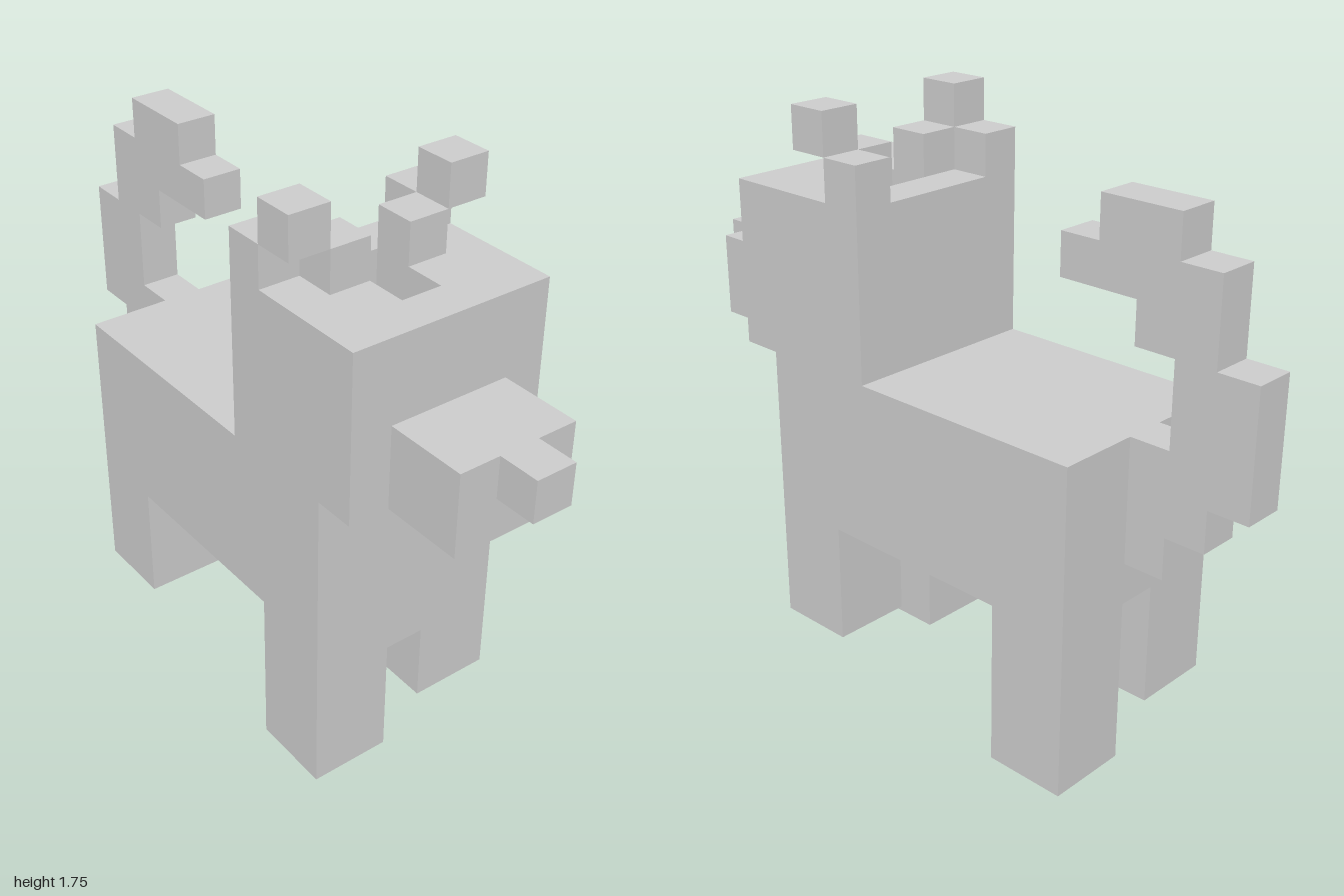
import * as THREE from 'three';

const U = 0.125; // one block
const material = new THREE.MeshStandardMaterial({ color: 0xcccccc, flatShading: true });

export function createModel() {
  const model = new THREE.Group();
  model.name = 'blockDog';

  const add = (name, geometry) => {
    const mesh = new THREE.Mesh(geometry, material);
    mesh.name = name;
    model.add(mesh);
    return mesh;
  };

  // Box given by its extents, in blocks
  const box = (name, [x0, x1], [y0, y1], [z0, z1]) => {
    const mesh = add(name, new THREE.BoxGeometry((x1 - x0) * U, (y1 - y0) * U, (z1 - z0) * U));
    mesh.position.set((x0 + x1) / 2 * U, (y0 + y1) / 2 * U, (z0 + z1) / 2 * U);
    return mesh;
  };
  const points = (list) => list.map(([x, y]) => new THREE.Vector2(x * U, y * U));

  // Body and the bridge between the front legs
  box('body', [-5, 4], [4, 8], [-2.5, 2.5]);
  box('chest', [2, 4], [3, 4], [-0.5, 0.5]);

  // Legs: one diagonal pair is lifted by a block
  box('leftFrontLeg', [2, 4], [0, 4], [0.5, 2.5]);
  box('rightFrontLeg', [2, 4], [1, 4], [-2.5, -0.5]);
  box('leftHindLeg', [-5, -3], [1, 4], [0.5, 2.5]);
  box('rightHindLeg', [-5, -3], [0, 4], [-2.5, -0.5]);

  // Head with a groove sunk into its crown
  box('head', [1, 5], [8, 11], [-2.5, 2.5]);
  const crown = new THREE.Shape(points([[1, -2.5], [5, -2.5], [5, 2.5], [1, 2.5]]));
  crown.holes.push(new THREE.Path(points([[2, -0.5], [2, 0.5], [4, 0.5], [4, -0.5]])));
  const crownGeometry = new THREE.ExtrudeGeometry(crown, { depth: U, bevelEnabled: false });
  crownGeometry.rotateX(-Math.PI / 2).translate(0, 11 * U, 0);
  add('crown', crownGeometry);

  // Muzzle and nose
  box('muzzle', [5, 7], [8, 10], [-1.5, 1.5]);
  box('nose', [7, 8], [9, 10], [-0.5, 0.5]);

  // Ears: back post, raised tip and inner block on each side
  for (const [side, s] of [['left', 1], ['right', -1]]) {
    const span = (a, b) => (s > 0 ? [a, b] : [-b, -a]);
    box(side + 'EarBack', [1, 2], [12, 13], span(1.5, 2.5));
    box(side + 'EarTip', [2, 3], [13, 14], span(1.5, 2.5));
    box(side + 'EarInner', [2, 3], [12, 13], span(0.5, 1.5));
  }

  // Curled, stepped tail
  const tail = new THREE.Shape(points([
    [-5, 5], [-5, 8], [-6, 8], [-6, 10], [-5, 10], [-5, 11], [-3, 11], [-3, 12],
    [-4, 12], [-4, 13], [-6, 13], [-6, 12], [-7, 12], [-7, 10], [-8, 10], [-8, 7],
    [-7, 7], [-7, 6], [-6, 6], [-6, 5],
  ]));
  const tailGeometry = new THREE.ExtrudeGeometry(tail, { depth: U, bevelEnabled: false });
  add('tail', tailGeometry.translate(0, 0, -U / 2));

  return model;
}
